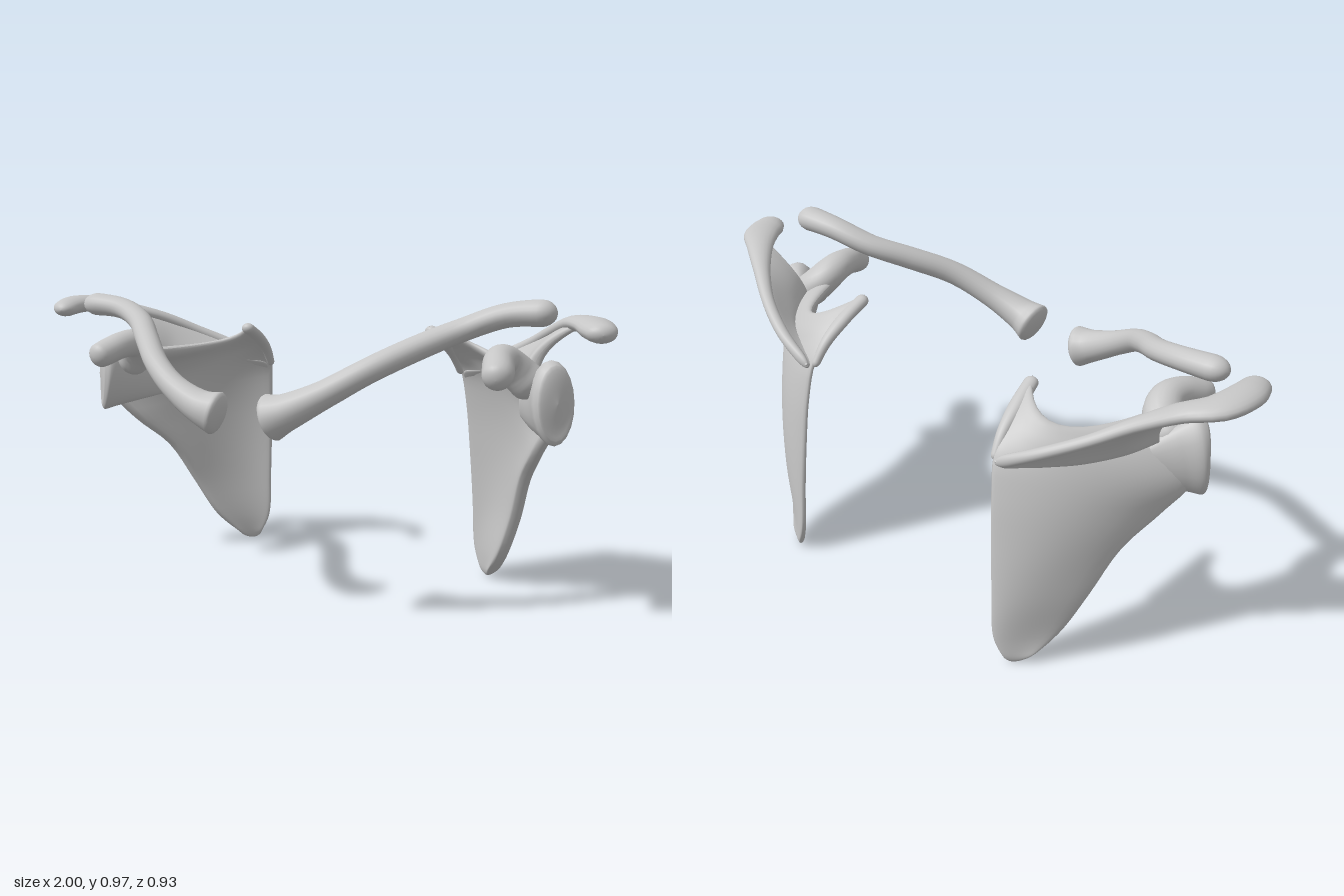
import * as THREE from 'three';

const bone = new THREE.MeshStandardMaterial({ color: 0xc6c6c6 });
bone.name = 'bone grey';

const V = (p) => new THREE.Vector3(...p);
const curve = (pts) => new THREE.CatmullRomCurve3(pts.map(V));
const UP = new THREE.Vector3(0, 1, 0);

// Closed skin over rings of equal size; winding is set so the faces look outward
function loft(name, rings) {
  const n = rings[0].length, pos = [], idx = [];
  rings.forEach((r) => r.forEach((p) => pos.push(p.x, p.y, p.z)));
  let volume = 0;
  const tri = (a, b, c) => {
    idx.push(a, b, c);
    const P = (k) => new THREE.Vector3(pos[3 * k], pos[3 * k + 1], pos[3 * k + 2]);
    volume += P(a).dot(P(b).cross(P(c)));
  };
  for (let i = 0; i < rings.length - 1; i++) {
    for (let j = 0; j < n; j++) {
      const a = i * n + j, b = i * n + (j + 1) % n;
      tri(a, b, b + n);
      tri(a, b + n, a + n);
    }
  }
  if (volume < 0) idx.reverse();
  const geo = new THREE.BufferGeometry();
  geo.setAttribute('position', new THREE.Float32BufferAttribute(pos, 3));
  geo.setIndex(idx);
  geo.computeVertexNormals();
  const mesh = new THREE.Mesh(geo, bone);
  mesh.name = name;
  return mesh;
}

// Rod along a path with [horizontal, vertical] radii and rounded ends
function rod(name, path, radii, round) {
  const c = curve(path), r = curve(radii.map((q) => [q[0], q[1], 0]));
  const rings = [], steps = 44, sides = 20;
  for (let i = 0; i <= steps; i++) {
    const t = (1 - Math.cos((Math.PI * i) / steps)) / 2;
    const e = round ? Math.min(1, t / round, (1 - t) / round) : 1;
    const k = Math.sqrt(Math.max(0, 1 - (1 - e) ** 2));
    const p = c.getPoint(t), s = r.getPoint(t);
    const tan = c.getPoint(Math.min(1, t + 0.005)).sub(c.getPoint(Math.max(0, t - 0.005))).normalize();
    const side = tan.clone().cross(UP).normalize();
    const up = side.clone().cross(tan).normalize();
    rings.push(Array.from({ length: sides }, (_, j) => {
      const a = (j / sides) * Math.PI * 2;
      return p.clone()
        .addScaledVector(side, Math.cos(a) * s.x * k)
        .addScaledVector(up, Math.sin(a) * s.y * k);
    }));
  }
  return loft(name, rings);
}

// Thin curved plate; each row is [one edge, middle, other edge]
function plate(name, rows, thickness) {
  const [A, B, C] = [0, 1, 2].map((k) => curve(rows.map((r) => r[k])));
  const at = (u, v) => {
    const a = A.getPoint(v), b = B.getPoint(v), c = C.getPoint(v);
    return a.multiplyScalar((1 - u) * (1 - 2 * u))
      .addScaledVector(b, 4 * u * (1 - u))
      .addScaledVector(c, u * (2 * u - 1));
  };
  const rings = [], steps = 44, sides = 36, h = 0.01;
  for (let i = 0; i <= steps; i++) {
    const v = (1 - Math.cos((Math.PI * i) / steps)) / 2;
    const e = Math.min(1, v / 0.05, (1 - v) / 0.05);
    const k = Math.sqrt(Math.max(0, 1 - (1 - e) ** 2));
    rings.push(Array.from({ length: sides }, (_, j) => {
      const a = (j / sides) * Math.PI * 2, u = (1 - Math.cos(a)) / 2;
      const du = at(Math.min(1, u + h), v).sub(at(Math.max(0, u - h), v));
      const dv = at(u, Math.min(1, v + h)).sub(at(u, Math.max(0, v - h)));
      const s = Math.sin(a);
      const off = Math.sign(s) * Math.sqrt(Math.abs(s)) * thickness(u) * k;
      return at(u, v).addScaledVector(du.cross(dv).normalize(), off);
    }));
  }
  return loft(name, rings);
}

// Shoulder blade; place() moves its points to the wanted side
function shoulderBlade(name, place, acromionTip) {
  const g = new THREE.Group();
  g.name = name;
  const P = (pts) => pts.map(place);

  // Triangular body, from the lower tip to the hooked upper border
  g.add(plate('bladeBody', [
    [[0.425, 0.015, -0.435], [0.45, 0.0, -0.42], [0.48, 0.015, -0.395]],
    [[0.395, 0.09, -0.445], [0.46, 0.09, -0.41], [0.545, 0.1, -0.33]],
    [[0.385, 0.25, -0.44], [0.5, 0.25, -0.395], [0.61, 0.24, -0.275]],
    [[0.375, 0.42, -0.43], [0.54, 0.41, -0.365], [0.67, 0.39, -0.2]],
    [[0.365, 0.58, -0.415], [0.58, 0.54, -0.32], [0.75, 0.5, -0.1]],
    [[0.355, 0.7, -0.385], [0.59, 0.65, -0.285], [0.81, 0.6, -0.05]],
    [[0.35, 0.78, -0.29], [0.525, 0.725, -0.295], [0.76, 0.69, -0.05]],
    [[0.345, 0.855, -0.17], [0.49, 0.78, -0.265], [0.65, 0.76, -0.03]],
  ].map(P), (u) => 0.01 + 0.026 * u ** 4 + 0.004 * (1 - u) ** 4));

  // Blunt upper inner corner
  g.add(rod('upperCorner',
    P([[0.357, 0.68, -0.39], [0.354, 0.745, -0.34], [0.352, 0.8, -0.26], [0.348, 0.845, -0.165]]),
    [[0.012, 0.012], [0.018, 0.016], [0.024, 0.018], [0.022, 0.018]], 0.06));

  // Ridge plate on the back, flaring where it meets the body
  g.add(plate('spineRidge', [
    [[0.37, 0.67, -0.385], [0.37, 0.68, -0.4], [0.37, 0.69, -0.41]],
    [[0.48, 0.69, -0.335], [0.485, 0.715, -0.36], [0.5, 0.745, -0.385]],
    [[0.58, 0.7, -0.275], [0.59, 0.75, -0.31], [0.62, 0.8, -0.335]],
    [[0.66, 0.71, -0.19], [0.675, 0.78, -0.24], [0.73, 0.85, -0.27]],
    [[0.705, 0.72, -0.13], [0.725, 0.805, -0.165], [0.82, 0.885, -0.18]],
    [[0.72, 0.725, -0.105], [0.75, 0.815, -0.13], [0.86, 0.89, -0.14]],
  ].map(P), (u) => 0.013 + 0.022 * (1 - u) ** 3));

  // Crest of the ridge running out into the flat shoulder tip
  const crest = P([[0.37, 0.68, -0.405], [0.5, 0.745, -0.385], [0.62, 0.8, -0.335], [0.72, 0.85, -0.27]]);
  g.add(rod('acromion', [...crest, ...acromionTip], [
    [0.013, 0.02], [0.019, 0.018], [0.02, 0.018], [0.026, 0.02],
    [0.042, 0.024], [0.058, 0.027], [0.056, 0.03], [0.038, 0.027],
  ], 0.05));

  // Neck widening into the joint socket
  g.add(rod('jointSocket',
    P([[0.65, 0.62, -0.195], [0.72, 0.645, -0.115], [0.78, 0.66, -0.065],
      [0.818, 0.668, -0.035], [0.834, 0.67, -0.022], [0.842, 0.67, -0.016]]),
    [[0.005, 0.03], [0.03, 0.075], [0.052, 0.108], [0.068, 0.126], [0.058, 0.11], [0, 0]], 0));

  // Hooked prong reaching forward from a broad root
  g.add(rod('coracoid',
    P([[0.76, 0.69, -0.07], [0.7, 0.755, -0.035], [0.682, 0.79, 0.015], [0.695, 0.79, 0.08],
      [0.72, 0.77, 0.14], [0.735, 0.755, 0.19]]),
    [[0.055, 0.06], [0.06, 0.054], [0.053, 0.048], [0.047, 0.044], [0.047, 0.043], [0.038, 0.038]], 0.1));
  return g;
}

export function createModel() {
  const model = new THREE.Group();
  model.name = 'shoulderBones';

  // Collar bones, from the inner end to the outer end
  const collarRadii = [[0.074, 0.078], [0.058, 0.056], [0.043, 0.042], [0.04, 0.038],
    [0.041, 0.037], [0.042, 0.035], [0.043, 0.036], [0.049, 0.042]];
  model.add(rod('leftCollarBone', [
    [0.1, 0.62, 0.392], [0.165, 0.645, 0.388], [0.27, 0.7, 0.352], [0.38, 0.77, 0.285],
    [0.48, 0.83, 0.18], [0.58, 0.88, 0.085], [0.7, 0.925, 0.037], [0.845, 0.938, 0.022],
  ], collarRadii, 0.05));
  model.add(rod('rightCollarBone', [
    [-0.075, 0.612, 0.367], [-0.145, 0.632, 0.377], [-0.25, 0.682, 0.365], [-0.35, 0.74, 0.32],
    [-0.46, 0.8, 0.225], [-0.57, 0.85, 0.125], [-0.68, 0.88, 0.075], [-0.84, 0.89, 0.07],
  ], collarRadii.map(([a, b]) => [a * 0.93, b * 0.95]), 0.05));

  model.add(shoulderBlade('leftShoulderBlade', (p) => p,
    [[0.82, 0.888, -0.19], [0.9, 0.892, -0.115], [0.94, 0.886, -0.055], [0.98, 0.88, 0.01]]));

  // The right blade is mirrored, turned slightly and sits a little lower
  const c = Math.cos(0.14), s = Math.sin(0.14);
  const right = ([x, y, z]) => {
    const dx = x - 0.73, dz = z - 0.18;
    return [-(0.69 + dx * c - dz * s), y * 0.96, 0.205 + dx * s + dz * c];
  };
  model.add(shoulderBlade('rightShoulderBlade', right,
    [[-0.83, 0.85, -0.15], [-0.915, 0.872, -0.085], [-0.935, 0.876, 0.01], [-0.91, 0.865, 0.125]]));
  return model;
}
